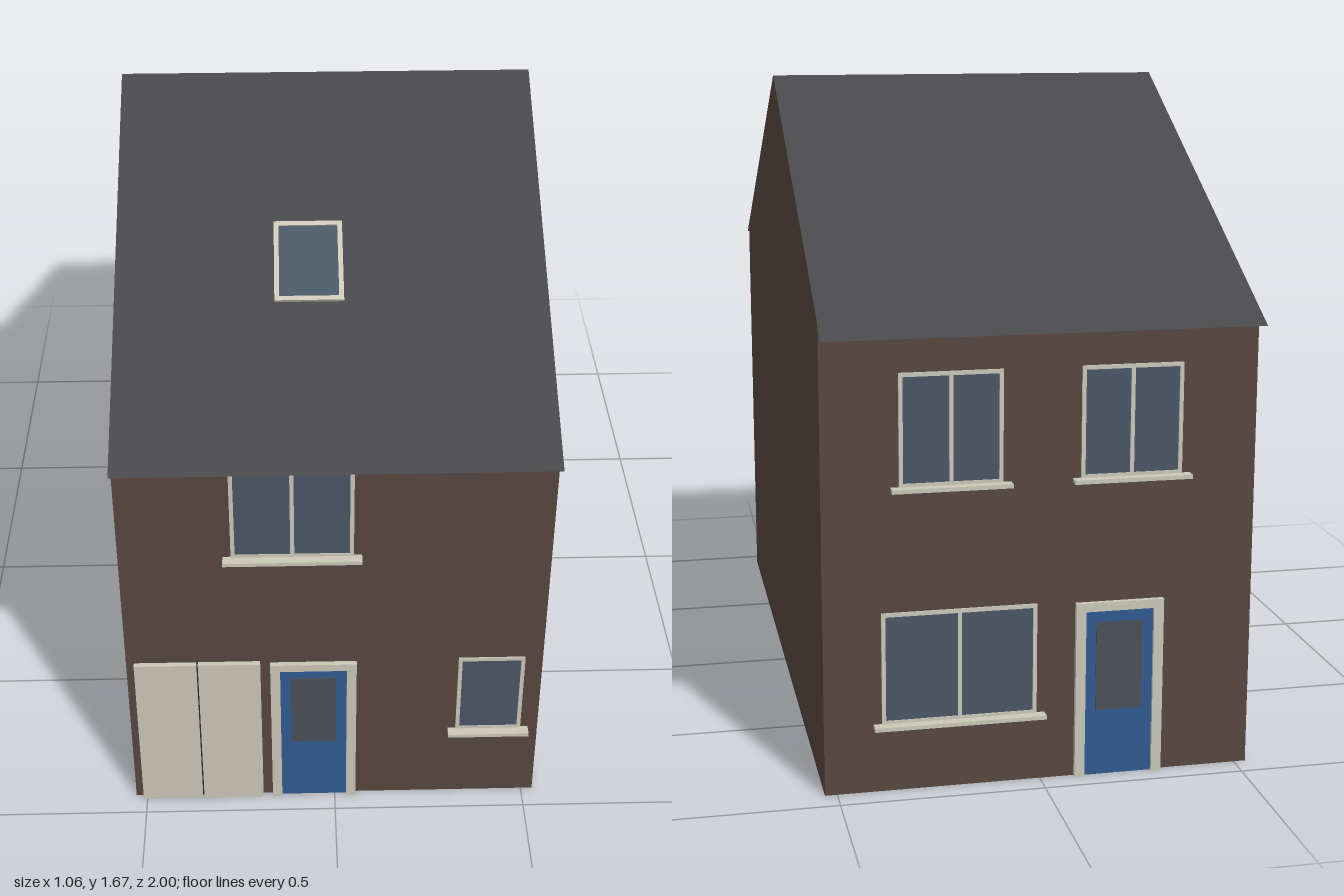
import * as THREE from 'three';

const HALF_W = 0.53, HALF_D = 0.94, RIDGE = 1.67, SLOPE = 0.55;
const EAVE = RIDGE - SLOPE * HALF_D;

const paint = (color, side = THREE.FrontSide) => new THREE.MeshStandardMaterial({ color, side });
const brick = paint(0x574640, THREE.DoubleSide);
const slate = paint(0x48484a, THREE.DoubleSide);
const cream = paint(0xcbc8b8);
const glass = paint(0x4a5766);
const doorGlass = paint(0x4c5158);
const blue = paint(0x305a90);
const dark = paint(0x2c2a28);

function add(parent, name, geometry, material) {
  const mesh = new THREE.Mesh(geometry, material);
  mesh.name = name;
  parent.add(mesh);
  return mesh;
}

// Box given by its limits in x, y and z
function block(parent, name, material, x0, x1, y0, y1, z0, z1) {
  const mesh = add(parent, name, new THREE.BoxGeometry(x1 - x0, y1 - y0, z1 - z0), material);
  mesh.position.set((x0 + x1) / 2, (y0 + y1) / 2, (z0 + z1) / 2);
  return mesh;
}

function rectPath(PathClass, x0, x1, y0, y1) {
  return new PathClass([[x0, y0], [x1, y0], [x1, y1], [x0, y1]].map(([x, y]) => new THREE.Vector2(x, y)));
}

// Flat rectangular frame with a rectangular opening, starting at z
function frame(parent, name, outer, inner, z, depth) {
  const shape = rectPath(THREE.Shape, ...outer);
  shape.holes.push(rectPath(THREE.Path, ...inner));
  const mesh = add(parent, name, new THREE.ExtrudeGeometry(shape, { depth, bevelEnabled: false }), cream);
  mesh.position.z = z;
  return mesh;
}

// Window: frame, pane, optional centre bar and projecting sill
function addWindow(parent, name, x, width, y0, y1, bar) {
  const g = new THREE.Group();
  g.name = name;
  const x0 = x - width / 2, x1 = x + width / 2, t = 0.01;
  frame(g, 'windowFrame', [x0, x1, y0, y1], [x0 + t, x1 - t, y0 + t, y1 - t], HALF_D, 0.004);
  block(g, 'windowPane', glass, x0 + t, x1 - t, y0 + t, y1 - t, HALF_D, HALF_D + 0.002);
  if (bar) block(g, 'windowBar', cream, x - t / 2, x + t / 2, y0 + t, y1 - t, HALF_D, HALF_D + 0.004);
  block(g, 'windowSill', cream, x0 - 0.02, x1 + 0.02, y0 - 0.008, y0 + 0.002, HALF_D, HALF_D + 0.027);
  parent.add(g);
}

// Door: three-sided surround, blue leaf and glazed upper panel
function addDoor(parent, name, x, height) {
  const g = new THREE.Group();
  g.name = name;
  const w = 0.11, t = 0.025, z = HALF_D;
  for (const s of [-1, 1]) {
    const a = x + s * w, b = x + s * (w - t);
    block(g, 'doorJamb', cream, Math.min(a, b), Math.max(a, b), 0, height, z, z + 0.013);
  }
  block(g, 'doorLintel', cream, x - w + t, x + w - t, height - 0.022, height, z, z + 0.013);
  block(g, 'doorLeaf', blue, x - w + t, x + w - t, 0, height - 0.022, z, z + 0.005);
  block(g, 'doorPane', doorGlass, x - 0.058, x + 0.058, height - 0.277, height - 0.052, z, z + 0.007);
  parent.add(g);
}

export function createModel() {
  const house = new THREE.Group();
  house.name = 'house';

  // Brick shell, open underneath
  const gable = new THREE.Shape([
    [-HALF_D, 0], [HALF_D, 0], [HALF_D, EAVE], [0, RIDGE], [-HALF_D, EAVE],
  ].map(([x, y]) => new THREE.Vector2(x, y)));
  for (const s of [-1, 1]) {
    const wall = add(house, s > 0 ? 'leftGableWall' : 'rightGableWall', new THREE.ShapeGeometry(gable), brick);
    wall.rotation.y = s * Math.PI / 2;
    wall.position.x = s * HALF_W;
    const face = add(house, s > 0 ? 'frontWall' : 'backWall', new THREE.PlaneGeometry(2 * HALF_W, EAVE), brick);
    face.rotation.y = s > 0 ? 0 : Math.PI;
    face.position.set(0, EAVE / 2, s * HALF_D);
  }

  // Thin roof slopes overhanging the front and back walls
  const tilt = Math.atan(SLOPE), slopeLength = Math.hypot(1, SLOPE);
  const roofSide = (s) => {
    const g = new THREE.Group();
    g.name = s > 0 ? 'frontRoof' : 'backRoof';
    g.position.set(0, RIDGE - SLOPE / 2, s * 0.5);
    g.rotation.set(-Math.PI / 2 + s * tilt, 0, 0);
    add(g, 'roofSlope', new THREE.PlaneGeometry(2 * HALF_W, slopeLength), slate);
    house.add(g);
    return g;
  };
  const frontRoof = roofSide(1);
  roofSide(-1);

  // Skylight lying on the front slope
  const skylight = new THREE.Group();
  skylight.name = 'skylight';
  frame(skylight, 'skylightFrame', [-0.14, 0.03, -0.112, 0.112], [-0.128, 0.018, -0.1, 0.1], 0, 0.009);
  block(skylight, 'skylightPane', glass, -0.128, 0.018, -0.1, 0.1, 0, 0.005);
  frontRoof.add(skylight);

  // Front facade
  const front = new THREE.Group();
  front.name = 'frontFacade';
  addWindow(front, 'upperFrontWindow', -0.105, 0.3, 0.825, 1.105, true);
  addWindow(front, 'lowerFrontWindow', 0.4, 0.17, 0.23, 0.48, false);
  addDoor(front, 'frontDoor', -0.055, 0.475);
  block(front, 'garageLeafRight', cream, -0.51, -0.352, 0, 0.48, HALF_D, 0.953);
  block(front, 'garageLeafLeft', cream, -0.348, -0.19, 0, 0.48, HALF_D, 0.953);
  block(front, 'garageGap', dark, -0.352, -0.348, 0, 0.48, HALF_D, 0.942);
  house.add(front);

  // Back facade, laid out facing forward and turned around
  const back = new THREE.Group();
  back.name = 'backFacade';
  for (const x of [-0.22, 0.22]) addWindow(back, 'upperBackWindow', x, 0.25, 0.755, 1.03, true);
  addWindow(back, 'lowerBackWindow', -0.2, 0.38, 0.17, 0.45, true);
  addDoor(back, 'backDoor', 0.195, 0.445);
  back.rotation.y = Math.PI;
  house.add(back);

  return house;
}
